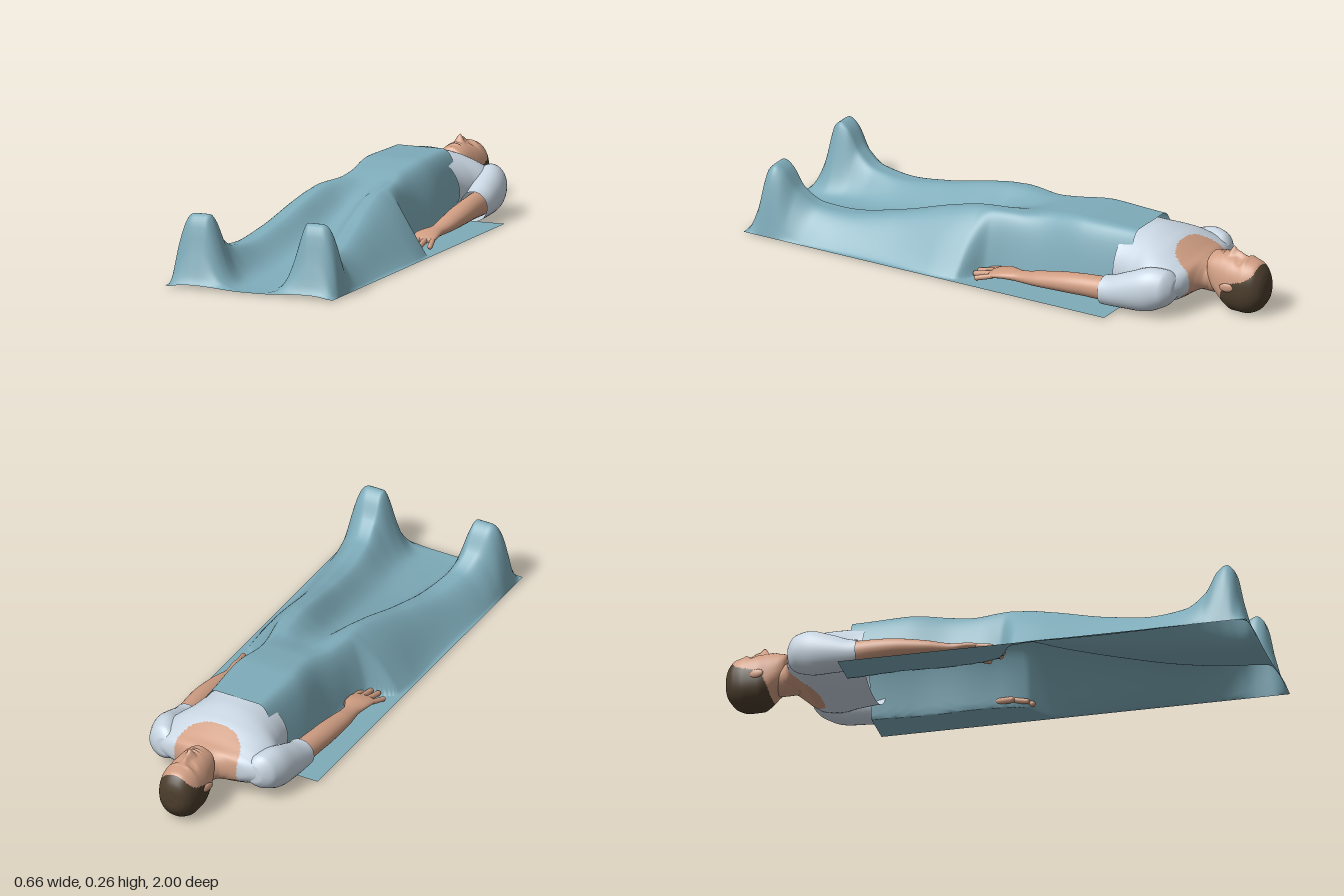
import * as THREE from 'three';

const mat = (name, color, side = THREE.FrontSide) => {
  const m = new THREE.MeshStandardMaterial({ color, side });
  m.name = name;
  return m;
};

// Smooth interpolation of table rows keyed by their first column (no overshoot).
function sample(table, z) {
  let i = 0;
  while (i < table.length - 2 && z > table[i + 1][0]) i++;
  const a = table[i], b = table[i + 1], d = b[0] - a[0];
  const t = Math.min(1, Math.max(0, (z - a[0]) / d));
  const slope = (k, c) => {
    if (k <= 0 || k >= table.length - 1) return 0;
    const l = (table[k][c] - table[k - 1][c]) / (table[k][0] - table[k - 1][0]);
    const r = (table[k + 1][c] - table[k][c]) / (table[k + 1][0] - table[k][0]);
    return l * r <= 0 ? 0 : 2 * l * r / (l + r);
  };
  return a.map((v, c) => c === 0 ? z :
    v * (2 * t ** 3 - 3 * t * t + 1) + b[c] * (3 * t * t - 2 * t ** 3) +
    d * (slope(i, c) * (t ** 3 - 2 * t * t + t) + slope(i + 1, c) * (t ** 3 - t * t)));
}

// Grid of points to a smooth surface; pick(point) chooses the material slot of each face.
function surface(rows, wrap, pick = () => 0) {
  const n = rows[0].length, flat = rows.flat(), lists = [[], []];
  for (let i = 0; i < rows.length - 1; i++) {
    for (let j = 0; j < (wrap ? n : n - 1); j++) {
      const a = i * n + j, b = i * n + (j + 1) % n, c = a + n, d = b + n;
      for (const f of [[a, b, c], [b, d, c]]) {
        const mid = [0, 1, 2].map(k => (flat[f[0]][k] + flat[f[1]][k] + flat[f[2]][k]) / 3);
        lists[pick(mid)].push(...f);
      }
    }
  }
  const g = new THREE.BufferGeometry();
  g.setAttribute('position', new THREE.Float32BufferAttribute(flat.flat(), 3));
  g.setIndex([...lists[0], ...lists[1]]);
  g.addGroup(0, lists[0].length, 0);
  g.addGroup(lists[0].length, lists[1].length, 1);
  g.computeVertexNormals();
  return g;
}

// Body part along z. Section: [z, centre x, centre y, half width, height above, depth below]
function loft(sections, { steps = 6, sides = 32, pick, bump, round = 1 } = {}) {
  const rows = [];
  for (let i = 0; i < sections.length - 1; i++) {
    for (let k = i ? 1 : 0; k <= steps; k++) {
      const z0 = sections[i][0] + (sections[i + 1][0] - sections[i][0]) * k / steps;
      const [z, cx, cy, w, up, down] = sample(sections, z0);
      rows.push(Array.from({ length: sides }, (_, j) => {
        const a = j / sides * Math.PI * 2, c = Math.cos(a), s = Math.sin(a);
        const x = cx + w * Math.sign(c) * Math.abs(c) ** round;
        const y = cy + (s > 0 ? up : down) * Math.sign(s) * Math.abs(s) ** round;
        return [x, y + (bump && s > 0 ? bump(x, z) * Math.min(1, s * 1.5) : 0), z];
      }));
    }
  }
  return surface(rows, true, pick);
}

const bell = (x, z, x0, z0, sx, sz) => Math.exp(-(((x - x0) / sx) ** 2) - ((z - z0) / sz) ** 2);

export function createModel() {
  const blanketMat = mat('blanket blue', 0x7eabb9, THREE.DoubleSide);
  const shirt = mat('shirt pale grey', 0xc8d5e1, THREE.DoubleSide);
  const skin = mat('skin', 0xcf9d82);
  const hair = mat('dark hair', 0x4b3d2c);
  const model = new THREE.Group();
  const add = (name, geo, m, parent = model) => {
    const mesh = new THREE.Mesh(geo, m);
    mesh.name = name;
    parent.add(mesh);
    return mesh;
  };

  // Blanket: [z, middle height, ridge inner x, ridge height, ridge outer x, ground x,
  //           outer curve, inner curve]
  const drape = [
    [-.51, .262, .08, .262, .08, .178, 2.6, 2], [-.3, .265, .08, .265, .08, .192, 2.8, 2],
    [-.15, .248, .07, .248, .07, .185, 2.6, 2], [-.03, .215, .08, .228, .1, .192, 2.4, 2],
    [.06, .19, .1, .228, .12, .215, 2.2, 2], [.13, .165, .105, .224, .125, .315, 1.5, 2],
    [.25, .125, .115, .2, .135, .33, 1.6, 2.3], [.45, .075, .14, .146, .165, .33, 1.7, 2.8],
    [.65, .035, .165, .113, .2, .33, 1.7, 3.4], [.75, .022, .178, .121, .215, .33, 1.7, 4],
    [.83, .014, .19, .168, .23, .33, 2, 4.6], [.88, .01, .193, .245, .242, .33, 2.5, 5],
    [.91, .008, .194, .262, .245, .33, 2.7, 5], [.935, .007, .2, .243, .242, .33, 2.6, 5],
    [.965, .006, .21, .12, .235, .33, 2, 4], [1, .005, .21, .015, .235, .33, 2, 2],
  ];
  const rows = [];
  for (let i = 190; i >= 0; i--) {
    const [z, mid, r0, top, r1, edge, k, e] = sample(drape, -0.51 + 1.51 * i / 190);
    const flare = 1 + 0.6 * bell(0, z, 0, .47, 1, .25); // flanks flatten out beside the legs
    rows.push(Array.from({ length: 133 }, (_, j) => {
      const x = -0.33 + 0.66 * j / 132, ax = Math.abs(x), t = ax / r0;
      let y = top;
      if (ax < r0) y = mid + (top - mid) * t ** e * (1 + e / 2 - e / 2 * t * t);
      else if (ax > r1) y = top * (1 - Math.min(1, (ax - r1) / (edge - r1)) ** k) ** flare;
      return [x, Math.max(y, 0.006), z];
    }));
  }
  add('blanket', surface(rows, false), blanketMat);

  // Upper body: shirt with a wide scooped neckline
  add('upperBody', loft([
    [-.80, 0, .11, .054, .05, .05], [-.77, 0, .11, .068, .056, .05],
    [-.752, 0, .114, .1, .06, .05], [-.735, 0, .115, .17, .066, .055],
    [-.715, 0, .113, .215, .076, .065], [-.68, 0, .11, .238, .098, .085],
    [-.62, 0, .11, .235, .127, .1], [-.54, 0, .112, .196, .144, .108],
    [-.455, 0, .115, .178, .145, .11],
  ], {
    steps: 12, sides: 120,
    pick: ([x, , z]) => z < -.76 || Math.abs(x / .128) ** 2.6 + ((z + .76) / .115) ** 2.6 < 1 ? 1 : 0,
  }), [shirt, skin]);

  // Neck
  add('neck', loft([
    [-.87, 0, .11, .052, .05, .055], [-.79, 0, .112, .058, .056, .06], [-.71, 0, .115, .07, .058, .06],
  ]), skin);

  // Head, with modelled face and a hairline
  const hairline = [[-1, .3], [-.976, .24], [-.966, .17], [-.935, .145], [-.895, .132],
    [-.86, .115], [-.835, .06], [-.815, -.02]];
  const face = (x, z) => {
    const ax = Math.abs(x);
    return .027 * bell(x, z, 0, -.858, .012, .014) + .015 * bell(x, z, 0, -.885, .009, .022) +
      .007 * bell(ax, z, .013, -.852, .008, .009) - .011 * bell(ax, z, .031, -.897, .016, .012) +
      .006 * bell(ax, z, .03, -.897, .011, .007) + .005 * bell(ax, z, .028, -.92, .024, .008) +
      .006 * bell(x, z, 0, -.825, .022, .005) + .006 * bell(x, z, 0, -.812, .02, .005) -
      .004 * bell(x, z, 0, -.8185, .024, .003) + .005 * bell(x, z, 0, -.782, .02, .01);
  };
  add('head', loft([
    [-1, 0, .105, 0, 0, 0], [-.997, 0, .105, .028, .036, .036],
    [-.985, 0, .105, .052, .068, .062], [-.96, 0, .103, .069, .098, .088],
    [-.92, 0, .1, .079, .11, .099], [-.87, 0, .1, .079, .113, .098],
    [-.84, 0, .105, .075, .11, .085], [-.81, 0, .12, .069, .093, .07],
    [-.785, 0, .145, .06, .062, .07], [-.77, 0, .165, .046, .032, .045],
    [-.765, 0, .17, 0, 0, 0],
  ], {
    steps: 10, sides: 96, round: .9, bump: face,
    pick: ([, y, z]) => y < sample(hairline, z)[1] ? 1 : 0,
  }), [skin, hair]);

  for (const s of [1, -1]) {
    const side = new THREE.Group();
    side.name = s > 0 ? 'leftArm' : 'rightArm';
    model.add(side);

    // Ear
    const ear = add('ear', new THREE.SphereGeometry(1, 16, 12), skin);
    ear.scale.set(.007, .016, .028);
    ear.position.set(s * .08, .112, -.872);
    ear.rotation.y = s * .2;

    // Sleeve, rounded over the shoulder
    add('sleeve', loft([
      [-.728, s * .18, .11, 0, 0, 0], [-.722, s * .185, .11, .035, .04, .035],
      [-.69, s * .2, .108, .06, .074, .065], [-.63, s * .217, .1, .063, .086, .08],
      [-.55, s * .227, .085, .059, .072, .068], [-.455, s * .232, .07, .054, .055, .054],
    ]), shirt, side);

    // Bare arm down to the palm
    add('forearm', loft([
      [-.5, s * .235, .075, .043, .045, .045], [-.4, s * .242, .074, .042, .042, .04],
      [-.32, s * .247, .07, .042, .039, .036], [-.2, s * .248, .058, .037, .03, .028],
      [-.11, s * .243, .048, .03, .02, .02], [-.05, s * .235, .045, .045, .018, .018],
      [-.01, s * .235, .039, .048, .015, .015], [.012, s * .235, .034, .04, .01, .01],
      [.016, s * .235, .033, 0, 0, 0],
    ]), skin, side);

    // Fingers and thumb: [base x, base z, tip x, tip z, radius]
    const fingers = [[.201, -.005, .196, .066, .0105], [.223, 0, .222, .08, .0105],
      [.248, 0, .254, .078, .0105], [.272, -.01, .288, .054, .0095], [.205, -.07, .167, .016, .012]];
    for (const [x0, z0, x1, z1, r] of fingers) {
      const a = new THREE.Vector3(s * x0, .037, z0), b = new THREE.Vector3(s * x1, .021, z1);
      const dir = b.clone().sub(a);
      const finger = add('finger', new THREE.CapsuleGeometry(r, dir.length() - r, 5, 12), skin, side);
      finger.position.copy(a).add(b).multiplyScalar(.5);
      finger.quaternion.setFromUnitVectors(new THREE.Vector3(0, 1, 0), dir.normalize());
    }
  }
  return model;
}
